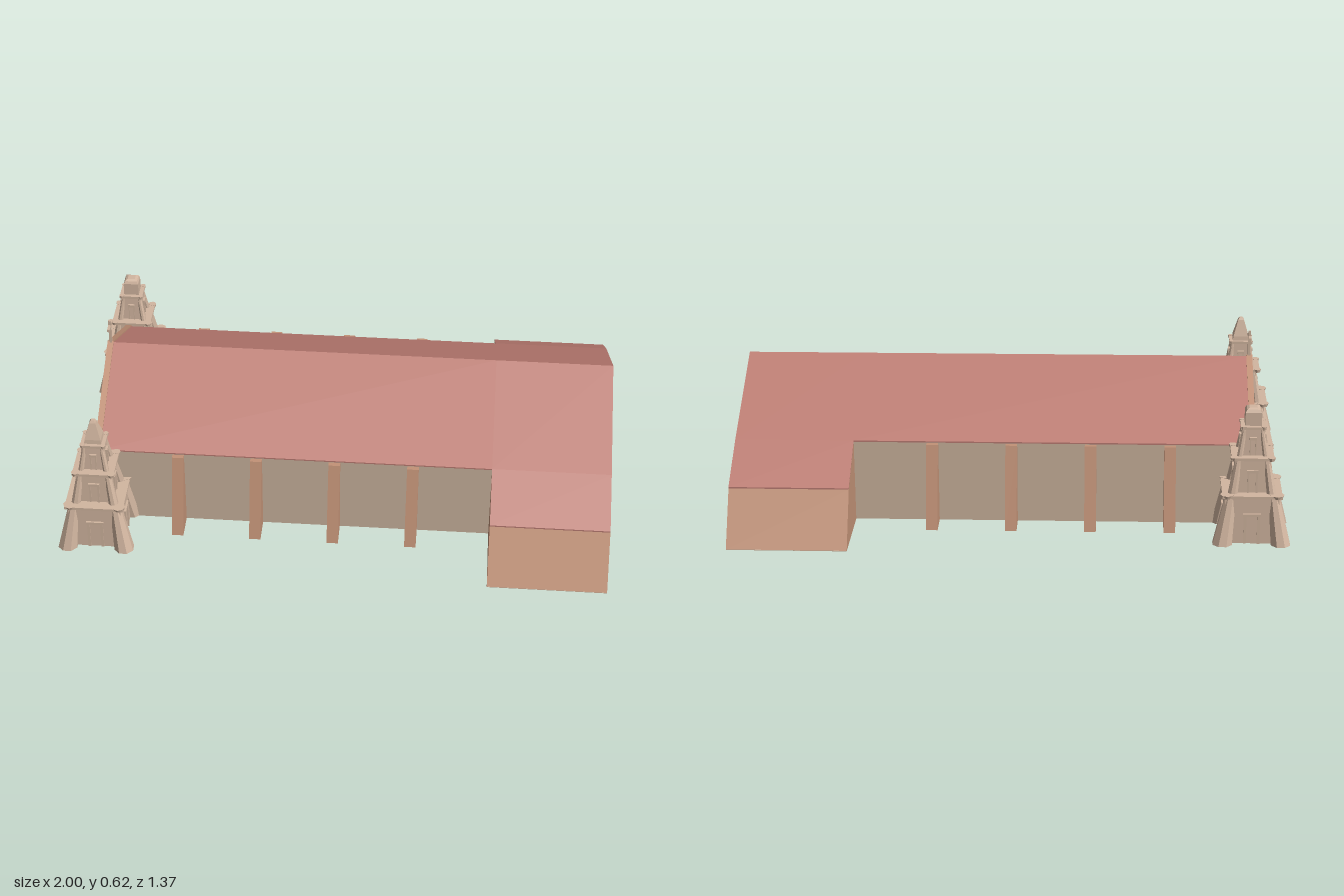
import * as THREE from 'three';

const mat = (name, color) => {
  const m = new THREE.MeshStandardMaterial({ color });
  m.name = name;
  return m;
};

export function createModel() {
  const wall = mat('sandstone wall', 0xcdb59f);
  const stone = mat('tower stone', 0xd2b6a0);
  const clay = mat('terracotta', 0xc29277);
  const tile = mat('roof tile', 0xbe7e74);

  const model = new THREE.Group();
  model.name = 'church';

  // Adds a faceted mesh to a parent
  const add = (parent, name, geometry, material, x = 0, y = 0, z = 0) => {
    const g = geometry.index ? geometry.toNonIndexed() : geometry;
    g.computeVertexNormals();
    const mesh = new THREE.Mesh(g, material);
    mesh.name = name;
    mesh.position.set(x, y, z);
    parent.add(mesh);
    return mesh;
  };
  const box = (parent, name, material, w, h, d, x, y, z) =>
    add(parent, name, new THREE.BoxGeometry(w, h, d), material, x, y, z);

  // Extrudes a (z, y) cross-section along x
  const prism = (name, pts, x0, x1, material) => {
    const shape = new THREE.Shape(pts.map(([z, y]) => new THREE.Vector2(-z, y)));
    const g = new THREE.ExtrudeGeometry(shape, { depth: x1 - x0, bevelEnabled: false });
    g.rotateY(Math.PI / 2);
    return add(model, name, g, material, x0, 0, 0);
  };
  // Completes a half profile by mirroring it over z = 0
  const mirrored = (pts) => [...pts, ...pts.filter(([z]) => z > 0).reverse().map(([z, y]) => [-z, y])];
  // Thin covering that follows a half profile on both sides
  const cover = (name, pts, t, x0, x1, material) => {
    const full = (dy) => [...pts.slice(1).reverse().map(([z, y]) => [-z, y + dy]), ...pts.map(([z, y]) => [z, y + dy])];
    return prism(name, [...full(t), ...full(0).reverse()], x0, x1, material);
  };

  // Nave with gable ends
  const gable = [[0, 0.502], [0.39, 0.3], [0.39, 0]];
  prism('nave', mirrored(gable), -0.86, 1, wall);
  cover('naveRoof', gable.slice(0, 2), 0.005, -0.855, 0.57, tile);

  // Transept wings with battered outer walls
  for (const s of [1, -1]) {
    const wing = [[0.39, 0], [0.685, 0], [0.57, 0.188], [0.39, 0.3]];
    prism('transeptWing', wing.map(([z, y]) => [s * z, y]), 0.57, 1, clay);
  }
  cover('transeptRoof', [[0, 0.502], [0.39, 0.3], [0.572, 0.188]], 0.005, 0.57, 1, tile);
  box(model, 'transeptFloor', wall, 0.43, 0.002, 1.37, 0.785, 0, 0);

  // Sloping buttresses along both sides
  for (const s of [1, -1]) {
    for (const x of [-0.57, -0.285, 0, 0.285]) {
      const pts = [[0.385, 0], [0.49, 0], [0.408, 0.298], [0.385, 0.298]];
      prism('buttress', pts.map(([z, y]) => [s * z, y]), x - 0.021, x + 0.021, clay);
    }
  }

  // West facade, its coping, door and cross
  prism('facade', mirrored(gable), -0.875, -0.86, wall);
  cover('facadeCoping', gable.slice(0, 2), 0.01, -0.877, -0.855, clay);
  box(model, 'doorFrame', clay, 0.008, 0.11, 0.06, -0.878, 0.055, 0);
  box(model, 'door', wall, 0.008, 0.1, 0.046, -0.88, 0.05, 0);
  const cross = new THREE.Group();
  cross.name = 'cross';
  cross.position.set(-0.865, 0.505, 0);
  box(cross, 'crossPost', stone, 0.01, 0.1, 0.01, 0, 0.05, 0);
  box(cross, 'crossArm', stone, 0.01, 0.01, 0.07, 0, 0.077, 0);
  model.add(cross);

  // Square tapering block
  const block = (parent, name, top, bottom, h, y) => {
    const g = new THREE.CylinderGeometry(top * Math.SQRT2, bottom * Math.SQRT2, h, 4);
    g.rotateY(Math.PI / 4);
    return add(parent, name, g, stone, 0, y + h / 2, 0);
  };

  // One tower storey: core, four leaning corner piers, niches and a ledge
  const storey = (tower, y, h, bottom, top, rb, rt, ledge) => {
    block(tower, 'storeyCore', top, bottom - rb * 1.1, h, y);
    for (const sx of [1, -1]) {
      for (const sz of [1, -1]) {
        const pier = new THREE.CylinderGeometry(rt, rb, h, 8);
        pier.rotateY(Math.PI / 8);
        const p = pier.attributes.position;
        for (let i = 0; i < p.count; i++) {
          const c = THREE.MathUtils.lerp(bottom - rb, top - rt, p.getY(i) / h + 0.5);
          p.setX(i, p.getX(i) + sx * c);
          p.setZ(i, p.getZ(i) + sz * c);
        }
        add(tower, 'cornerPier', pier, stone, 0, y + h / 2, 0);
        const cap = new THREE.CylinderGeometry(rt * 1.25, rt, 0.012, 8);
        add(tower, 'pierCap', cap, stone, sx * (ledge - rt * 1.25), y + h - 0.004, sz * (ledge - rt * 1.25));
      }
    }
    // Raised niche frame on each face
    for (let k = 0; k < 4; k++) {
      const side = new THREE.Group();
      side.name = 'niche';
      side.rotation.y = (k * Math.PI) / 2;
      const w = top * 0.42, d = (bottom + top - rb * 1.1) / 2, nh = h * 0.6;
      for (const s of [1, -1]) box(side, 'nicheJamb', stone, w * 0.25, nh, 0.012, s * w * 0.6, y + nh / 2, d);
      box(side, 'nicheLintel', stone, w * 1.6, 0.01, 0.014, 0, y + nh, d);
      tower.add(side);
    }
    box(tower, 'ledge', stone, ledge * 1.88, 0.01, ledge * 1.88, 0, y + h - 0.004, 0);
  };

  // Twin towers, one with a spire and one with a dome
  const spire = [[0, 0], [0.031, 0], [0.029, 0.018], [0.011, 0.08], [0.006, 0.089], [0, 0.089]];
  const dome = [[0, 0], [0.029, 0], [0.028, 0.05], [0.023, 0.06], [0.014, 0.065], [0, 0.065]];
  for (const [s, profile, name] of [[1, spire, 'spire'], [-1, dome, 'dome']]) {
    const tower = new THREE.Group();
    tower.name = name + 'Tower';
    tower.position.set(-0.858, 0, s * 0.472);
    storey(tower, 0, 0.18, 0.14, 0.095, 0.037, 0.02, 0.113);
    storey(tower, 0.18, 0.132, 0.086, 0.06, 0.018, 0.012, 0.08);
    storey(tower, 0.312, 0.106, 0.056, 0.037, 0.011, 0.008, 0.047);
    const pts = profile.map(([r, y]) => new THREE.Vector2(r * Math.SQRT2, y));
    const top = new THREE.LatheGeometry(pts, 4);
    top.rotateY(Math.PI / 4);
    add(tower, name, top, stone, 0, 0.417, 0);
    model.add(tower);
  }

  // The whole building follows a very slight fall of the ground
  model.rotation.z = -0.0075;
  model.position.y = 0.0075;
  const root = new THREE.Group();
  root.name = 'model';
  root.add(model);
  return root;
}
